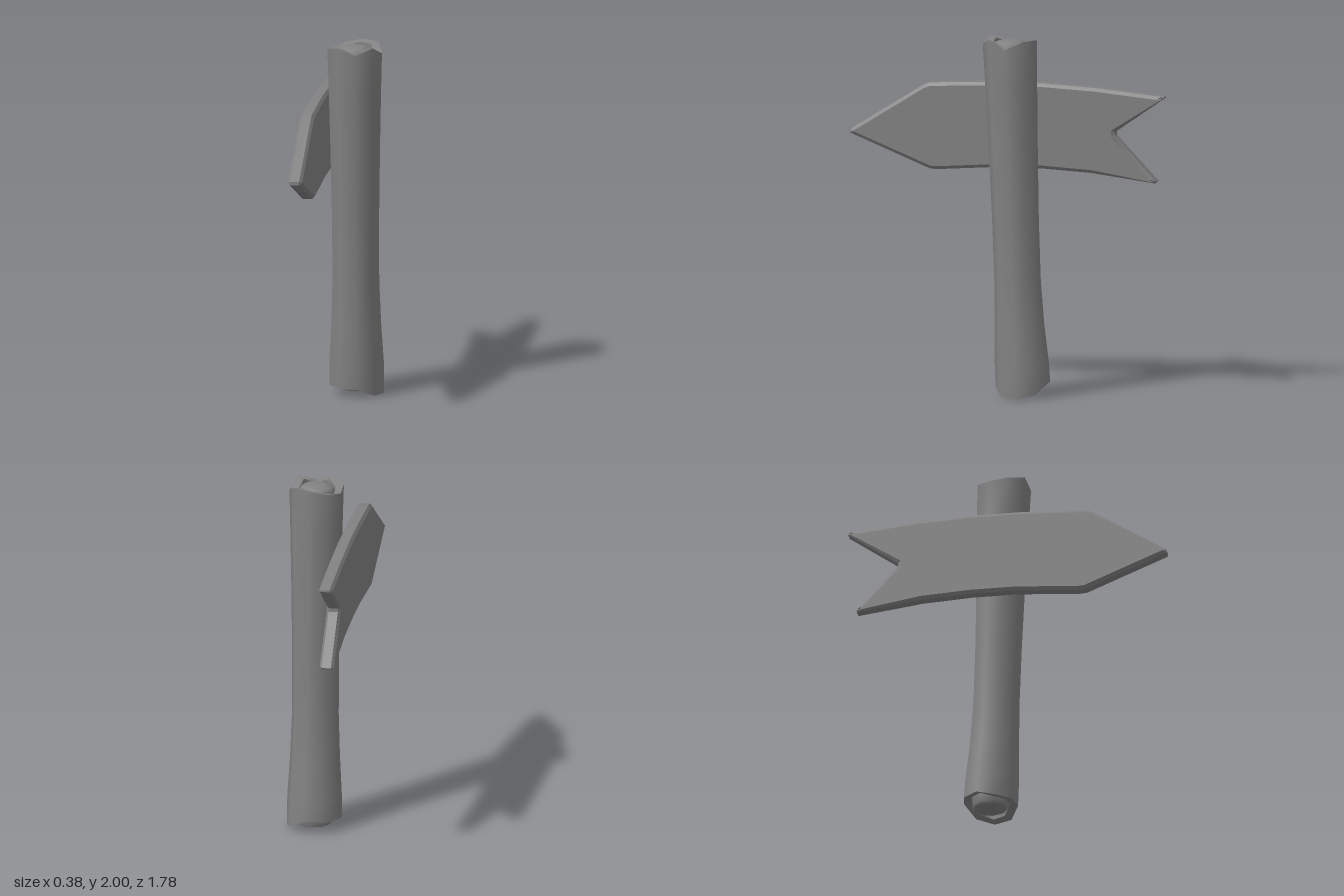
import * as THREE from 'three';
import { toCreasedNormals } from 'three/addons/utils/BufferGeometryUtils.js';

const SIDES = 9;
const CX = 0.036;
const material = new THREE.MeshStandardMaterial({ color: 0x828282 });

// Jagged heights of the broken ends, one per side, starting at +x towards +z
const topRim = [1.95, 2.0, 1.965, 2.0, 1.975, 1.96, 1.975, 1.995, 1.995];
const bottomRim = [0.005, 0.01, 0.05, 0.05, 0.05, 0.075, 0.075, 0.085, 0.03];

// A ring of points; y is one height or a list of heights, offset by dy
function ring(r, cz, y, dy = 0) {
  return Array.from({ length: SIDES }, (_, k) => {
    const a = (k / SIDES) * Math.PI * 2;
    return [CX + r * Math.cos(a), (Array.isArray(y) ? y[k] : y) + dy, cz + r * Math.sin(a)];
  });
}

// Skin the rings, ordered from bottom to top
function skin(rings) {
  const index = [];
  for (let i = 0; i < rings.length - 1; i++) {
    for (let k = 0; k < SIDES; k++) {
      const n = (k + 1) % SIDES;
      const a = i * SIDES + k, b = i * SIDES + n;
      const c = a + SIDES, d = b + SIDES;
      index.push(a, c, b, b, c, d);
    }
  }
  const g = new THREE.BufferGeometry();
  g.setAttribute('position', new THREE.Float32BufferAttribute(rings.flat(2), 3));
  g.setIndex(index);
  return toCreasedNormals(g, THREE.MathUtils.degToRad(50));
}

// Shallow domed wood core showing inside a broken end; dir is +1 up, -1 down
function core(name, cz, y, dir, rise) {
  const profile = [[0.104, -0.06], [0.104, 0], [0.085, rise * 0.7], [0.05, rise * 0.95], [0, rise]]
    .map(([r, h]) => new THREE.Vector2(r, h));
  const mesh = new THREE.Mesh(new THREE.LatheGeometry(profile, SIDES, Math.PI / 2), material);
  mesh.name = name;
  if (dir < 0) mesh.rotation.x = Math.PI;
  mesh.position.set(CX, y, cz);
  return mesh;
}

export function createModel() {
  const model = new THREE.Group();

  // Bent post with thick jagged rims at both ends
  const post = new THREE.Mesh(skin([
    ring(0.104, -0.132, 0.12),
    ring(0.108, -0.132, bottomRim, 0.01),
    ring(0.154, -0.131, bottomRim),
    ring(0.153, -0.125, 0.18),
    ring(0.14, -0.111, 0.4),
    ring(0.131, -0.1, 0.65),
    ring(0.132, -0.088, 1.0),
    ring(0.139, -0.075, 1.4),
    ring(0.147, -0.064, 1.75),
    ring(0.153, -0.057, topRim),
    ring(0.108, -0.057, topRim, -0.01),
    ring(0.104, -0.057, 1.9),
  ]), material);
  post.name = 'post';
  model.add(post);

  model.add(core('topCore', -0.057, 1.95, 1, 0.038));
  model.add(core('bottomCore', -0.132, 0.04, -1, 0.018));

  // Arrow board with a blunt pointed front and a notched tail, drawn in z and y
  const outline = [
    [0.893, 1.432], [0.48, 1.692], [0.44, 1.708], [0.3, 1.715], [0.07, 1.725], [-0.2, 1.725],
    [-0.5, 1.71], [-0.89, 1.673], [-0.89, 1.663], [-0.612, 1.468], [-0.612, 1.447],
    [-0.846, 1.2], [-0.84, 1.189], [-0.48, 1.235], [-0.2, 1.25], [0.05, 1.25],
    [0.4, 1.225], [0.44, 1.228], [0.893, 1.412],
  ].map(([z, y]) => new THREE.Vector2(z, y));
  const extruded = new THREE.ExtrudeGeometry(new THREE.Shape(outline), {
    depth: 0.052, bevelThickness: 0.014, bevelSize: 0.018, bevelOffset: -0.018, bevelSegments: 1,
  });
  extruded.rotateY(-Math.PI / 2);
  extruded.translate(-0.124, 0, 0);
  const board = new THREE.Mesh(toCreasedNormals(extruded, THREE.MathUtils.degToRad(30)), material);
  board.name = 'arrowBoard';
  model.add(board);

  return model;
}
